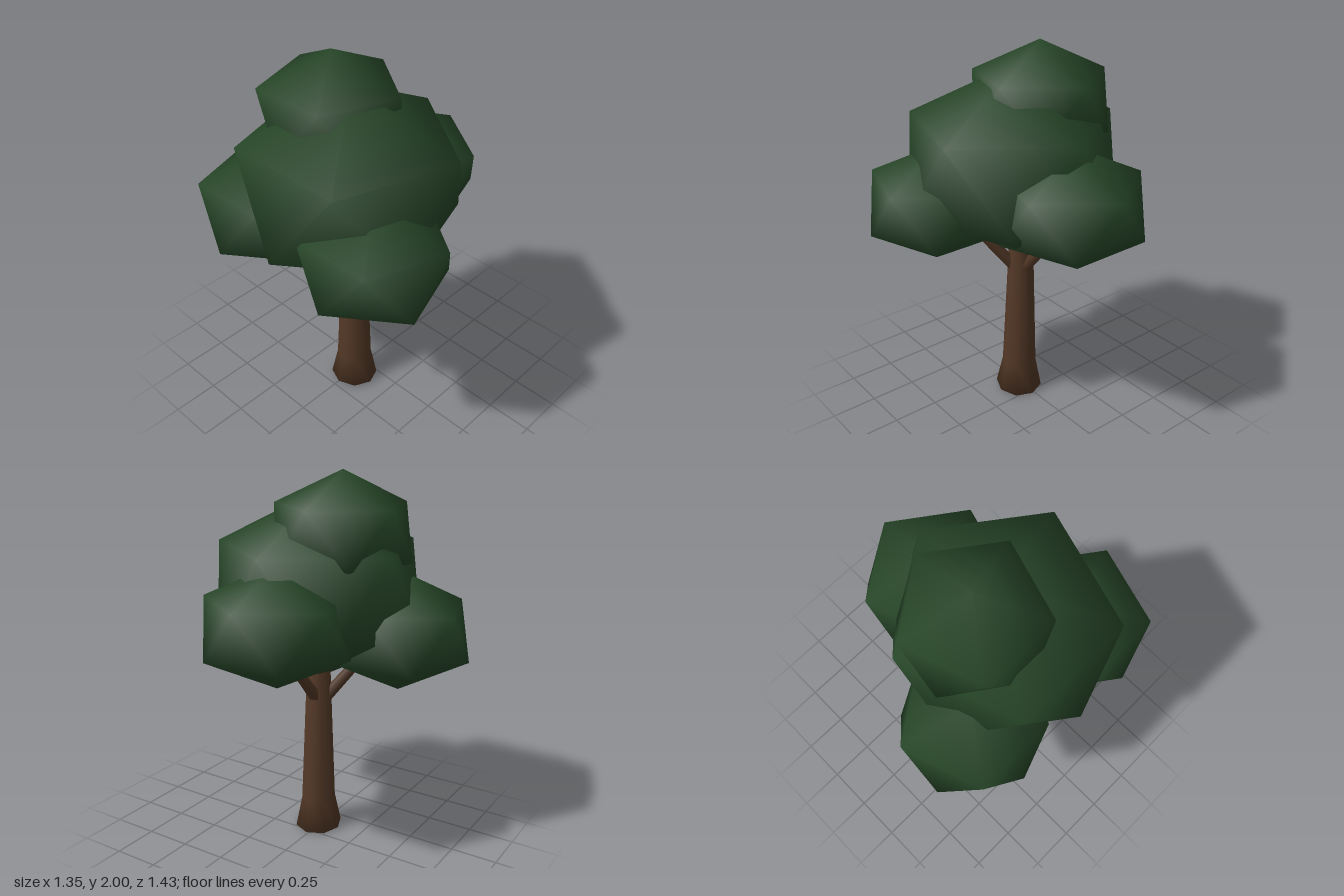
import * as THREE from 'three';
import { mergeVertices } from 'three/addons/utils/BufferGeometryUtils.js';

// Smooth-shaded icosahedron with a vertex at the top and an upper-ring vertex on +x
function crownGeometry() {
  const geo = new THREE.IcosahedronGeometry(1, 0);
  geo.deleteAttribute('normal');
  geo.deleteAttribute('uv');
  geo.rotateX(-Math.atan2((1 + Math.sqrt(5)) / 2, 1));
  geo.rotateY(Math.PI / 2);
  return mergeVertices(geo, 1e-3);
}

export function createModel() {
  const group = new THREE.Group();
  const leaves = new THREE.MeshStandardMaterial({ color: 0x264527 });
  leaves.name = 'leaf green';
  const bark = new THREE.MeshStandardMaterial({ color: 0x533826 });
  bark.name = 'bark brown';

  const add = (name, geo, mat) => {
    const mesh = new THREE.Mesh(geo, mat);
    mesh.name = name;
    group.add(mesh);
    return mesh;
  };

  // Foliage clumps: name, centre, radii
  const clumps = [
    ['mainCrown', [-0.12, 1.385, 0.03], [0.62, 0.505, 0.615]],
    ['topCrown', [-0.09, 1.69, -0.13], [0.4, 0.31, 0.4]],
    ['leftCrown', [0.31, 1.265, 0], [0.41, 0.315, 0.42]],
    ['frontCrown', [-0.31, 1.19, 0.36], [0.41, 0.31, 0.415]],
    ['backCrown', [-0.31, 1.155, -0.36], [0.41, 0.325, 0.415]],
  ];
  for (const [name, centre, radii] of clumps) {
    const geo = crownGeometry();
    geo.scale(...radii);
    geo.computeVertexNormals();
    add(name, geo, leaves).position.set(...centre);
  }

  // Flared trunk with a slightly leaning axis and a tilted foot
  const profile = [[0, 0], [0.13, 0], [0.095, 0.18], [0.065, 0.95], [0, 0.95]];
  const trunk = new THREE.LatheGeometry(profile.map(([r, y]) => new THREE.Vector2(r, y)), 8);
  const p = trunk.attributes.position;
  for (let i = 0; i < p.count; i++) {
    const y = p.getY(i);
    const x = p.getX(i);
    p.setXYZ(i, x - 0.1 + 0.02 * y, y < 0.01 ? 0.01 - 0.075 * x : y, p.getZ(i) + 0.012 - 0.01 * y);
  }
  add('trunk', trunk, bark);

  // Branches reaching into the side clumps
  const branches = [
    ['leftBranch', [-0.07, 0.77, 0], [0.26, 1.13, 0]],
    ['frontBranch', [-0.09, 0.77, 0.02], [-0.23, 1.12, 0.28]],
    ['backBranch', [-0.09, 0.77, -0.02], [-0.23, 1.12, -0.28]],
  ];
  for (const [name, a, b] of branches) {
    const start = new THREE.Vector3(...a);
    const dir = new THREE.Vector3(...b).sub(start);
    const length = dir.length();
    const geo = new THREE.CylinderGeometry(0.022, 0.036, length, 5);
    geo.translate(0, length / 2, 0);
    const branch = add(name, geo, bark);
    branch.position.copy(start);
    branch.quaternion.setFromUnitVectors(new THREE.Vector3(0, 1, 0), dir.normalize());
  }
  return group;
}
